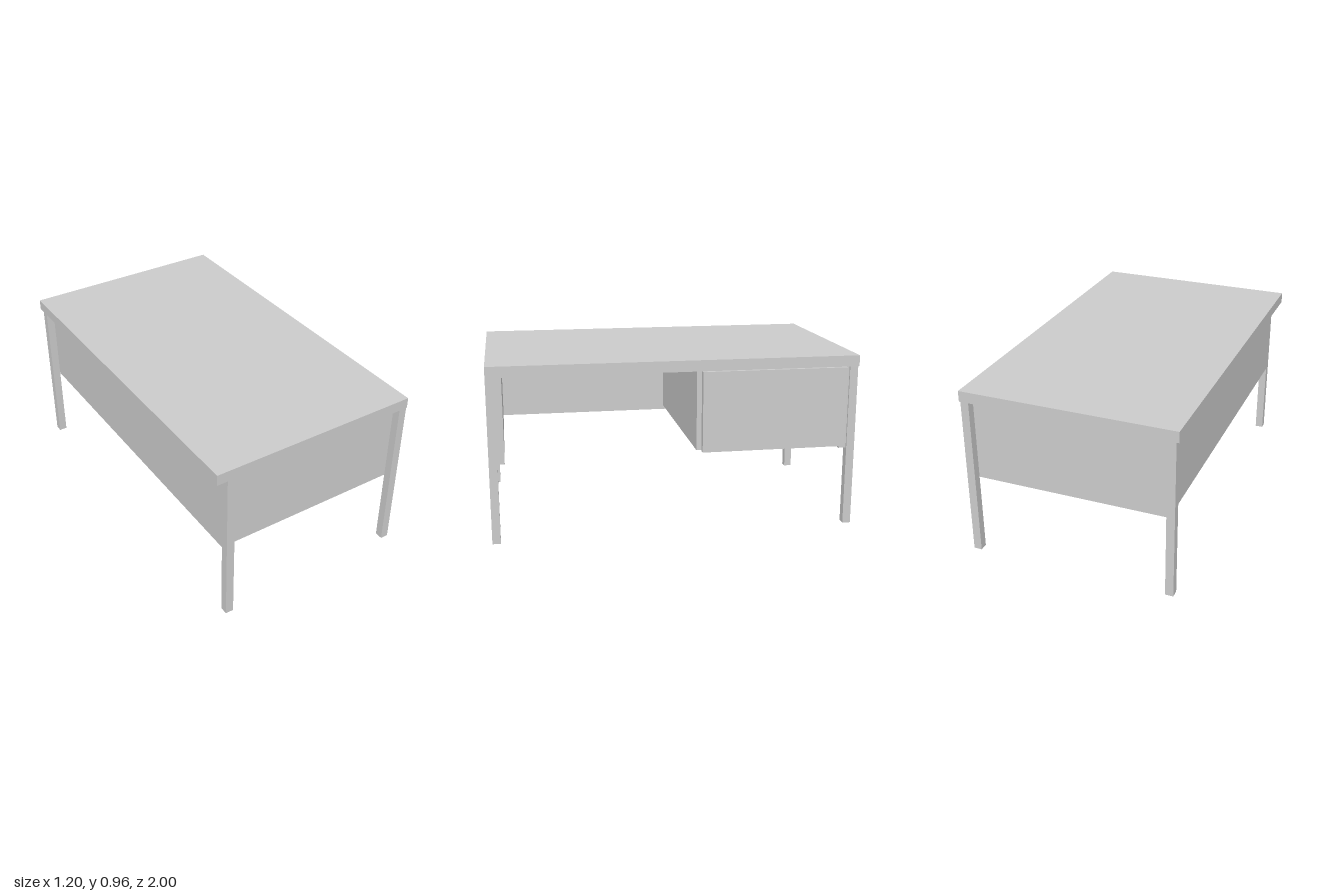
import * as THREE from 'three';

export function createModel() {
  const desk = new THREE.Group();
  desk.name = 'desk';
  const material = new THREE.MeshStandardMaterial({ color: 0xcccccc, flatShading: true });

  // Box given by its extents along each axis
  function slab(name, [x0, x1], [y0, y1], [z0, z1]) {
    const mesh = new THREE.Mesh(new THREE.BoxGeometry(x1 - x0, y1 - y0, z1 - z0), material);
    mesh.position.set((x0 + x1) / 2, (y0 + y1) / 2, (z0 + z1) / 2);
    mesh.name = name;
    desk.add(mesh);
  }

  const under = 0.9, skirt = 0.44, legSize = 0.045;

  slab('desktop', [-0.6, 0.58], [under, 0.96], [-1, 1]);

  // Square legs, set outside the panels
  const legs = [
    ['frontLeftLeg', 0.53, 0.955],
    ['frontRightLeg', -0.54, 0.955],
    ['backLeftLeg', 0.53, -0.995],
    ['backRightLeg', -0.585, -0.995],
  ];
  for (const [name, x, z] of legs) {
    slab(name, [x, x + legSize], [0, under], [z, z + legSize]);
  }

  // Skirt panels on three sides; the knee side stays open
  slab('frontPanel', [-0.54, 0.575], [skirt, under], [0.917, 0.955]);
  slab('backPanel', [-0.54, 0.565], [skirt, under], [-0.95, -0.908]);
  slab('longPanel', [-0.54, -0.5], [skirt, under], [-0.908, 0.917]);

  // Cabinet, open below: a divider and one overlaid front
  slab('cabinetDivider', [-0.5, 0.565], [0.465, under], [-0.145, -0.105]);
  slab('cabinetFront', [0.565, 0.6], [0.46, under], [-0.928, -0.132]);

  return desk;
}
